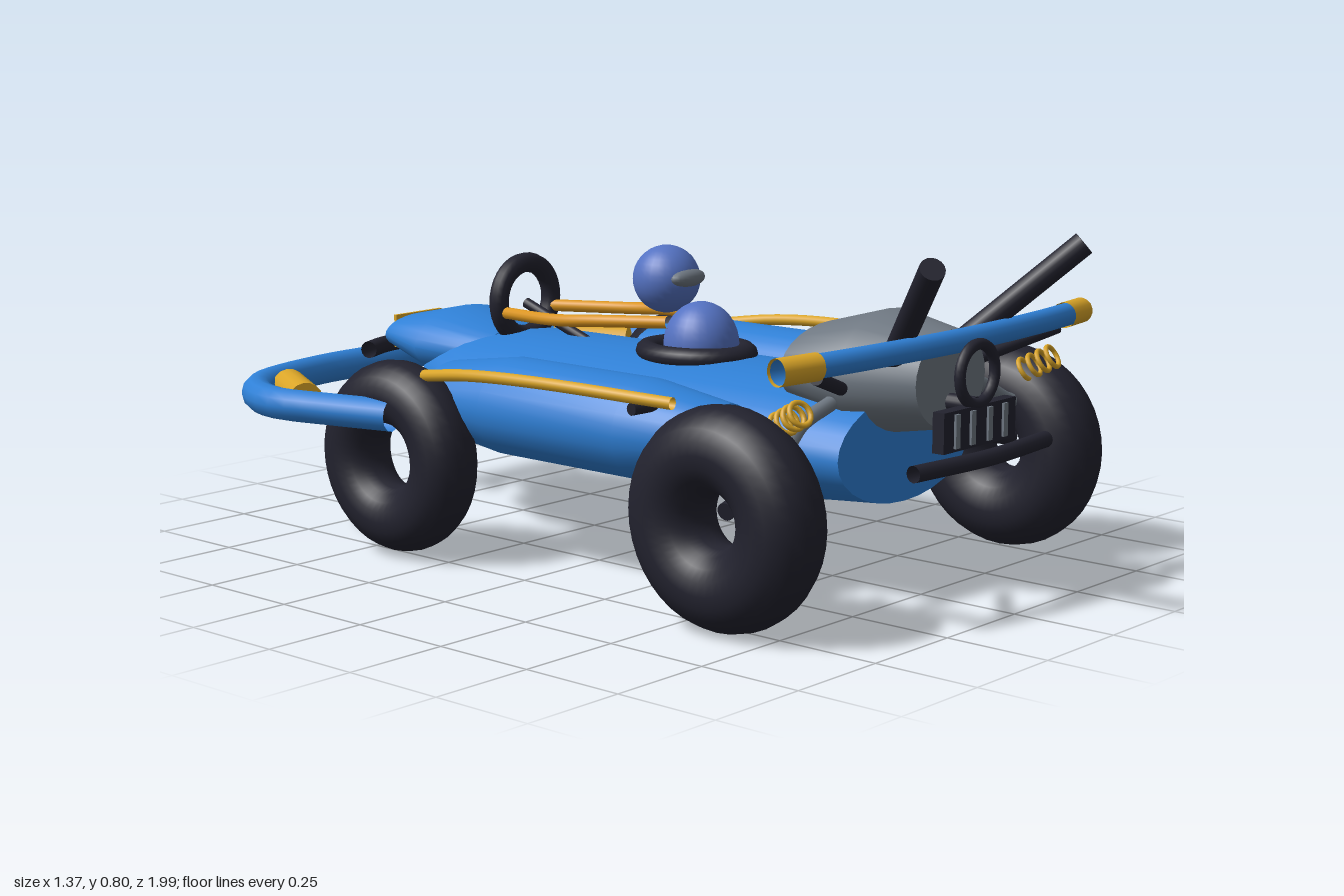
import * as THREE from 'three';
import { toCreasedNormals } from 'three/addons/utils/BufferGeometryUtils.js';

const V = (p) => new THREE.Vector3(...p);

// Capped loft of elliptical sections [z, centreX, centreY, radiusX, radiusY], in order of rising z
function loft(sections, sides = 28) {
  const pos = [], idx = [];
  sections.forEach(([z, cx, cy, rx, ry]) => {
    for (let j = 0; j < sides; j++) {
      const a = (j / sides) * Math.PI * 2;
      pos.push(cx + rx * Math.cos(a), cy + ry * Math.sin(a), z);
    }
  });
  const last = (sections.length - 1) * sides;
  for (let i = 0; i < last; i += sides) {
    for (let j = 0; j < sides; j++) {
      const k = (j + 1) % sides;
      idx.push(i + j, i + k, i + sides + k, i + j, i + sides + k, i + sides + j);
    }
  }
  for (let j = 1; j < sides - 1; j++) {
    idx.push(0, j + 1, j, last, last + j, last + j + 1);
  }
  const g = new THREE.BufferGeometry();
  g.setAttribute('position', new THREE.Float32BufferAttribute(pos, 3));
  g.setIndex(idx);
  return toCreasedNormals(g, 0.75);
}

export function createModel() {
  const group = new THREE.Group();
  const mat = (name, color, extra = {}) => {
    const m = new THREE.MeshStandardMaterial({ color, ...extra });
    m.name = name;
    return m;
  };
  const blue = mat('body blue', 0x2f80d6, { side: THREE.DoubleSide });
  const dark = mat('rubber black', 0x22222e, { side: THREE.DoubleSide });
  const grey = mat('metal grey', 0x6e7781);
  const gold = mat('gold', 0xdaa528, { side: THREE.DoubleSide });
  const orange = mat('orange', 0xdb951f);
  const suit = mat('suit blue', 0x5472c2);

  const add = (name, geometry, material, at = [0, 0, 0]) => {
    const m = new THREE.Mesh(geometry, material);
    m.name = name;
    m.position.set(...at);
    group.add(m);
    return m;
  };
  const tube = (name, points, r, material, segments = 24) =>
    add(name, new THREE.TubeGeometry(new THREE.CatmullRomCurve3(points.map(V)), segments, r, 12), material);
  const rod = (name, from, to, r, material, open = false) => {
    const a = V(from), b = V(to), d = b.clone().sub(a);
    const m = add(name, new THREE.CylinderGeometry(r, r, d.length(), 16, 1, open), material);
    m.position.copy(a).add(b).multiplyScalar(0.5);
    m.quaternion.setFromUnitVectors(new THREE.Vector3(0, 1, 0), d.normalize());
    return m;
  };

  // Hull, nose and engine cover
  add('hull', loft([
    [-0.7, 0, 0.33, 0.16, 0.125], [-0.48, 0, 0.335, 0.28, 0.14], [0, 0, 0.335, 0.285, 0.145],
    [0.45, 0, 0.335, 0.285, 0.145], [0.7, 0, 0.335, 0.245, 0.125],
  ]), blue);
  add('nose', loft([
    [-0.875, 0, 0.43, 0.12, 0.045], [-0.7, 0, 0.425, 0.18, 0.088], [-0.51, 0, 0.415, 0.13, 0.065],
  ]), blue);
  add('engineCover', loft([
    [0.485, 0, 0.5, 0.18, 0.095], [0.65, 0, 0.5, 0.192, 0.14], [0.82, 0, 0.5, 0.13, 0.11],
  ]), grey);

  // Cockpit rim and driver
  const rim = add('cockpitRim', new THREE.TorusGeometry(0.105, 0.025, 12, 36), dark, [0, 0.48, 0.085]);
  rim.rotation.x = Math.PI / 2;
  rim.scale.y = 1.2;
  add('driverTorso', new THREE.SphereGeometry(0.09, 28, 18), suit, [0, 0.5, 0.1]).scale.y = 1.12;
  add('driverHead', new THREE.SphereGeometry(0.081, 28, 18), suit, [0, 0.645, -0.01]);
  add('visor', new THREE.SphereGeometry(0.055, 20, 12), grey, [0, 0.653, 0.058]).scale.set(1, 0.4, 0.45);

  // Steering
  add('steeringWheel', new THREE.TorusGeometry(0.092, 0.025, 12, 36), dark, [0, 0.55, -0.485]);
  rod('steeringColumn', [0, 0.54, -0.48], [0, 0.43, -0.17], 0.013, dark);

  // Nose plate and small curved nose bar
  add('nosePlate', new THREE.BoxGeometry(0.16, 0.085, 0.009), gold, [0, 0.435, -0.88]);
  tube('noseBar', [[-0.165, 0.395, -0.89], [-0.08, 0.395, -0.925], [0, 0.395, -0.935],
    [0.08, 0.395, -0.925], [0.165, 0.395, -0.89]], 0.022, dark);

  // Wrap-around bumper
  const half = [[0.57, 0.35, -0.36], [0.615, 0.35, -0.53], [0.645, 0.35, -0.68], [0.605, 0.35, -0.8],
    [0.51, 0.35, -0.89], [0.28, 0.35, -0.955]];
  const mirrored = half.map(([x, y, z]) => [-x, y, z]).reverse();
  tube('bumper', [...half, [0, 0.35, -0.96], ...mirrored], 0.039, blue, 48);

  // High cross bar over the engine end
  tube('crossBar', [[-0.56, 0.585, 0.79], [-0.3, 0.59, 0.835], [0, 0.592, 0.855],
    [0.3, 0.59, 0.835], [0.56, 0.585, 0.79]], 0.027, blue);

  // Engine end: ring, slatted block and low bar
  add('fanRing', new THREE.TorusGeometry(0.066, 0.013, 10, 32), dark, [0, 0.52, 0.89]);
  rod('ringMount', [0, 0.45, 0.8], [0, 0.45, 0.89], 0.02, dark);
  add('radiatorBlock', new THREE.BoxGeometry(0.27, 0.09, 0.03), dark, [0, 0.408, 0.885]);
  for (const x of [-0.09, -0.032, 0.032, 0.09]) {
    add('radiatorSlat', new THREE.BoxGeometry(0.016, 0.075, 0.008), grey, [x, 0.408, 0.902]);
  }
  tube('lowBar', [[-0.25, 0.34, 0.905], [0, 0.34, 0.925], [0.25, 0.34, 0.905]], 0.019, dark);

  for (const s of [1, -1]) {
    // Side pods
    add('sidePod', loft([
      [-0.36, s * 0.367, 0.37, 0.12, 0.085], [-0.15, s * 0.372, 0.372, 0.128, 0.115],
      [0.27, s * 0.372, 0.372, 0.128, 0.115], [0.47, s * 0.345, 0.37, 0.095, 0.08],
    ]), blue);

    // Wheels
    const big = add('exhaustEndWheel', new THREE.TorusGeometry(0.15, 0.095, 20, 40), dark, [s * 0.525, 0.248, 0.622]);
    const small = add('noseEndWheel', new THREE.TorusGeometry(0.15, 0.079, 20, 40), dark, [s * 0.511, 0.24, -0.4]);
    big.rotation.y = small.rotation.y = Math.PI / 2;

    // Axles, wishbones and struts
    rod('axle', [s * 0.53, 0.265, 0.625], [s * 0.33, 0.31, 0.6], 0.02, dark);
    rod('noseEndAxle', [s * 0.48, 0.33, -0.35], [s * 0.38, 0.37, -0.34], 0.016, dark);
    rod('railMount', [s * 0.43, 0.445, 0.345], [s * 0.51, 0.445, 0.34], 0.014, dark);
    tube('wishbone', [[s * 0.5, 0.36, 0.7], [s * 0.42, 0.38, 0.688], [s * 0.33, 0.43, 0.67],
      [s * 0.23, 0.46, 0.668]], 0.017, grey);
    rod('barStrut', [s * 0.45, 0.56, 0.8], [s * 0.25, 0.5, 0.71], 0.015, dark);

    // Spring coils
    const axis = new THREE.Vector3(s * 0.02, 0.05, 0.08).normalize();
    for (let i = 0; i < 4; i++) {
      const t = i / 3;
      const coil = add('springCoil', new THREE.TorusGeometry(0.026, 0.006, 8, 20), gold,
        [s * (0.455 + 0.015 * t), 0.45 + 0.035 * t, 0.71 + 0.065 * t]);
      coil.quaternion.setFromUnitVectors(new THREE.Vector3(0, 0, 1), axis);
    }

    // Exhaust pipes
    rod('exhaustPipe', [s * 0.11, 0.54, 0.74], [s * 0.285, 0.785, 0.97], 0.028, dark);

    // Gold sleeves on the cross bar and bumper
    rod('barSleeve', [s * 0.46, 0.587, 0.81], [s * 0.565, 0.585, 0.788], 0.03, gold, true);
    rod('bumperSleeve', [s * 0.475, 0.35, -0.84], [s * 0.575, 0.35, -0.66], 0.042, gold);

    // Side rails and driver arms
    tube('sideRail', [[s * 0.52, 0.445, -0.3], [s * 0.55, 0.47, -0.12], [s * 0.552, 0.48, 0.1],
      [s * 0.5, 0.47, 0.45]], 0.014, gold);
    tube('driverArm', [[s * 0.075, 0.555, 0.06], [s * 0.125, 0.545, -0.13], [s * 0.13, 0.535, -0.25],
      [s * 0.085, 0.525, -0.475]], 0.015, orange);
  }
  return group;
}
